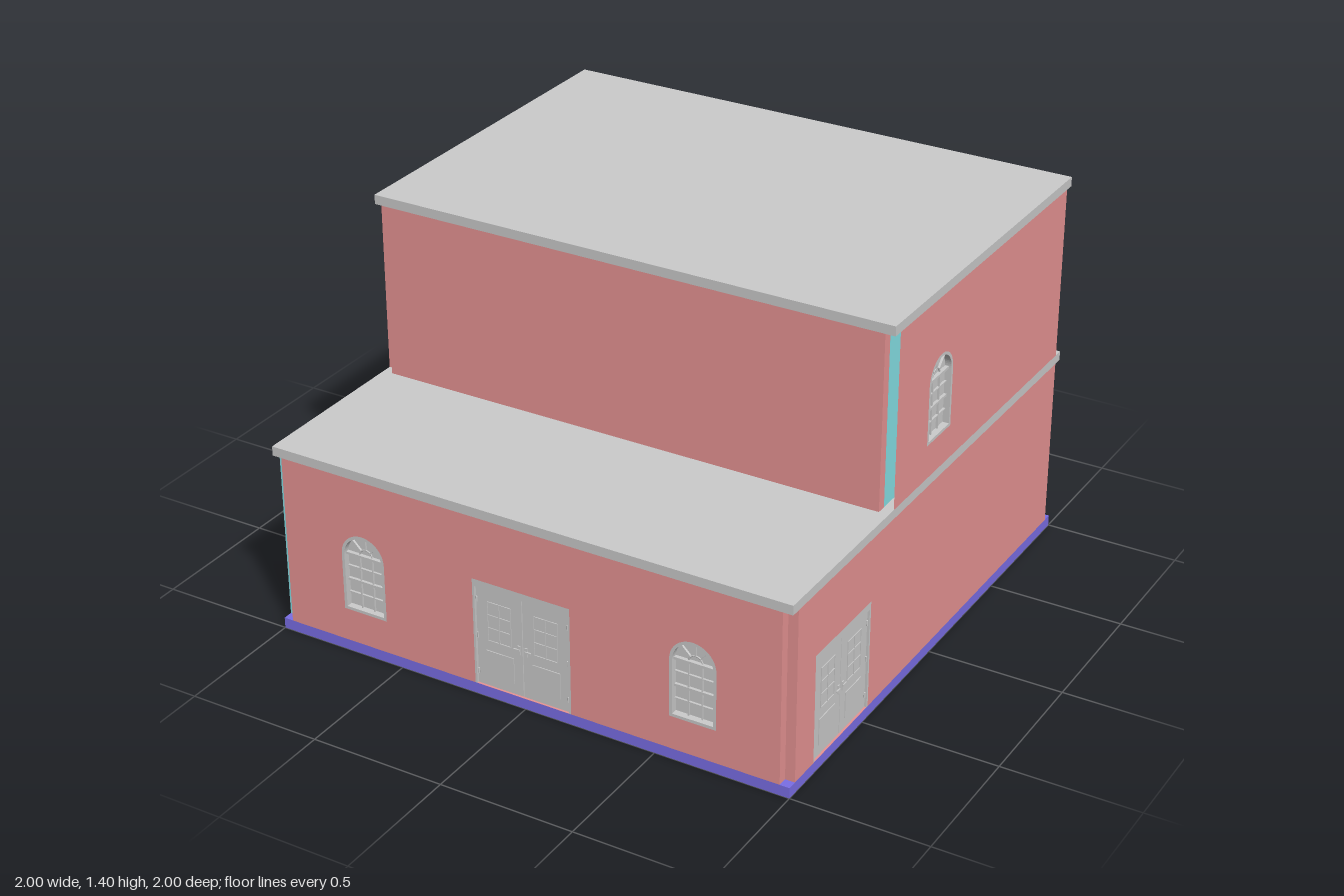
import * as THREE from 'three';

const T = 0.036; // wall thickness, also the size of the open corner notches
const mat = (color, side = THREE.FrontSide) => new THREE.MeshStandardMaterial({ color, side });
const GREY = mat(0xcccccc), GREY2 = mat(0xcccccc, THREE.DoubleSide);
const PINK = mat(0xe79494), PINK2 = mat(0xe79494, THREE.DoubleSide);
const TEAL = mat(0x86e0e6), TEAL2 = mat(0x86e0e6, THREE.DoubleSide), BLUE = mat(0x7a6ee6);

function add(parent, name, geo, material, x = 0, y = 0, z = 0) {
  const m = new THREE.Mesh(geo, material);
  m.name = name;
  m.position.set(x, y, z);
  parent.add(m);
  return m;
}
const box = (parent, name, w, h, d, x, y, z, material = GREY) =>
  add(parent, name, new THREE.BoxGeometry(w, h, d), material, x, y, z);

// Rectangle outline, or one with a round arch on top
function trace(path, x0, x1, y0, y1, arched) {
  const r = (x1 - x0) / 2;
  path.moveTo(x0, y0);
  path.lineTo(x1, y0);
  if (arched) {
    path.lineTo(x1, y1 - r);
    path.absarc((x0 + x1) / 2, y1 - r, r, 0, Math.PI, false);
  } else {
    path.lineTo(x1, y1);
    path.lineTo(x0, y1);
  }
  path.closePath();
  return path;
}
const extrude = (shape, depth) =>
  new THREE.ExtrudeGeometry(shape, { depth, bevelEnabled: false, curveSegments: 16 });

// Arched sash window, outer face at z = 0, foot of the opening at y = 0
function makeWindow(o) {
  const g = new THREE.Group();
  g.name = 'archedWindow';
  const r = o.w / 2, spring = o.h - r, e = 0.011, ri = r - e;
  const frame = trace(new THREE.Shape(), -r, r, 0, o.h, true);
  frame.holes.push(trace(new THREE.Path(), -ri, ri, e, o.h - e, true));
  add(g, 'windowFrame', extrude(frame, T), GREY, 0, 0, -T);
  add(g, 'windowPane', new THREE.ShapeGeometry(trace(new THREE.Shape(), -ri, ri, e, o.h - e, true), 16), GREY2, 0, 0, -0.024);
  for (const s of [-1, 1]) box(g, 'verticalBar', 0.004, spring - e, 0.008, s * ri / 3, (spring + e) / 2, -0.02);
  for (let i = 1; i < 4; i++) {
    const rail = i === 2 ? 0.009 : 0.004;
    box(g, 'horizontalBar', 2 * ri, rail, rail + 0.004, 0, e + (spring - e) * i / 4, -0.02);
  }
  box(g, 'springRail', 2 * ri, 0.009, 0.014, 0, spring, -0.017);
  // Fanlight
  const hub = 0.026;
  add(g, 'fanHub', new THREE.TorusGeometry(hub, 0.003, 6, 14, Math.PI), GREY, 0, spring, -0.02);
  for (let i = 1; i < 4; i++) {
    const a = i * Math.PI / 4, d = (hub + ri) / 2;
    box(g, 'fanBar', ri - hub, 0.004, 0.008, d * Math.cos(a), spring + d * Math.sin(a), -0.02).rotation.z = a;
  }
  return g;
}

// Door with one or two glazed leaves
function makeDoor(o) {
  const g = new THREE.Group();
  g.name = o.leaves === 2 ? 'doubleDoor' : 'singleDoor';
  const j = 0.008, lintel = 0.028;
  for (const s of [-1, 1]) box(g, 'doorJamb', j, o.h, T, s * (o.w - j) / 2, o.h / 2, -T / 2);
  box(g, 'doorLintel', o.w, lintel, T, 0, o.h - lintel / 2, -T / 2);
  const lw = (o.w - 2 * j) / o.leaves, lh = o.h - lintel - 0.004;
  for (let k = 0; k < o.leaves; k++) {
    const cx = (k - (o.leaves - 1) / 2) * lw, inward = k === 0 ? 1 : -1;
    box(g, 'doorLeaf', lw - 0.003, lh, 0.022, cx, lh / 2, -0.019);
    // Glazing bars in the upper half, a raised panel below
    for (const s of [-1, 0, 1]) box(g, 'leafBar', 0.003, 0.15, 0.004, cx + s * lw * 0.25, 0.255, -0.007);
    for (const y of [0.18, 0.23, 0.28, 0.33]) box(g, 'leafRail', lw * 0.5, 0.003, 0.004, cx, y, -0.007);
    box(g, 'leafPanel', lw * 0.6, 0.1, 0.004, cx, 0.09, -0.007);
    // Handle and hinges
    const hx = cx + inward * (lw / 2 - 0.014);
    box(g, 'handlePlate', 0.01, 0.034, 0.004, hx, 0.18, -0.006);
    box(g, 'handleLever', 0.024, 0.006, 0.005, hx - inward * 0.008, 0.182, -0.003);
    for (const y of [0.05, 0.19, 0.33])
      add(g, 'hinge', new THREE.CylinderGeometry(0.003, 0.003, 0.02, 8), GREY, cx - inward * (lw / 2 - 0.005), y, -0.006);
  }
  return g;
}

// Wall running from u0 to u1 in its own frame, with fitted openings.
// cap is the material of the wall ends; null leaves them open.
function makeWall(name, u0, u1, y0, y1, cap, openings = []) {
  const g = new THREE.Group();
  g.name = name;
  const shape = trace(new THREE.Shape(), u0, u1, y0, y1);
  for (const o of openings) {
    // Doors reach the foot of the wall, so their cut-out stops a hair above it
    const foot = Math.max(o.y, y0 + 0.0005);
    shape.holes.push(trace(new THREE.Path(), o.u - o.w / 2, o.u + o.w / 2, foot, o.y + o.h, !o.leaves));
    const filling = o.leaves ? makeDoor(o) : makeWindow(o);
    filling.position.set(o.u, o.y, 0);
    g.add(filling);
  }
  if (cap) add(g, 'wallBody', extrude(shape, T), [PINK, cap], 0, 0, -T);
  else add(g, 'outerSkin', new THREE.ShapeGeometry(shape, 16), PINK2);
  add(g, 'innerLining', new THREE.ShapeGeometry(shape, 16), TEAL2, 0, 0, -T - 0.0005);
  return g;
}

export function createModel() {
  const model = new THREE.Group();
  model.name = 'building';
  const E = 1 - T, zf = 0.355; // wall ends; front plane of the upper storey
  const B = 0.04, S1 = 0.685, S2 = 0.72, R1 = 1.365, R2 = 1.4;

  // Base and roof slabs
  box(model, 'base', 2, B, 2, 0, B / 2, 0, BLUE);
  box(model, 'lowerRoof', 2, S2 - S1, 2, 0, (S1 + S2) / 2, 0);
  box(model, 'upperRoof', 2, R2 - R1, 1 + zf, 0, (R1 + R2) / 2, (zf - 1) / 2);

  const win = (u, y) => ({ u, y, w: 0.174, h: 0.305 });
  const door = (u, w, leaves) => ({ u, y: B, w, h: 0.408, leaves });
  function place(wall, x, z, turn) {
    wall.position.set(x, 0, z);
    wall.rotation.y = turn * Math.PI / 2;
    model.add(wall);
  }

  // Lower storey
  place(makeWall('lowerFrontWall', -E, E, B, S1, PINK,
    [win(-0.645, 0.165), win(0.643, 0.165), door(-0.01, 0.38, 2)]), 0, 1, 0);
  place(makeWall('lowerDoubleDoorSideWall', -E, E, B, S1, PINK, [door(-0.65, 0.38, 2)]), 1, 0, 1);
  place(makeWall('lowerSingleDoorSideWall', -E, E, B, S1, TEAL, [door(0.65, 0.165, 1)]), -1, 0, -1);
  place(makeWall('lowerBackWall', -E, E, B, S1, TEAL), 0, -1, 2);

  // Upper storey, set back from the front
  place(makeWall('upperFrontWall', -E, E, S2, R1, PINK), 0, zf, 0);
  place(makeWall('upperOpenEndedSideWall', T - zf, E, S2, R1, null, [win(0, 0.845)]), 1, 0, 1);
  place(makeWall('upperSideWall', -E, zf - T, S2, R1, PINK, [win(-0.647, 0.845)]), -1, 0, -1);
  place(makeWall('upperBackWall', -E, E, S2, R1, TEAL), 0, -1, 2);

  return model;
}
